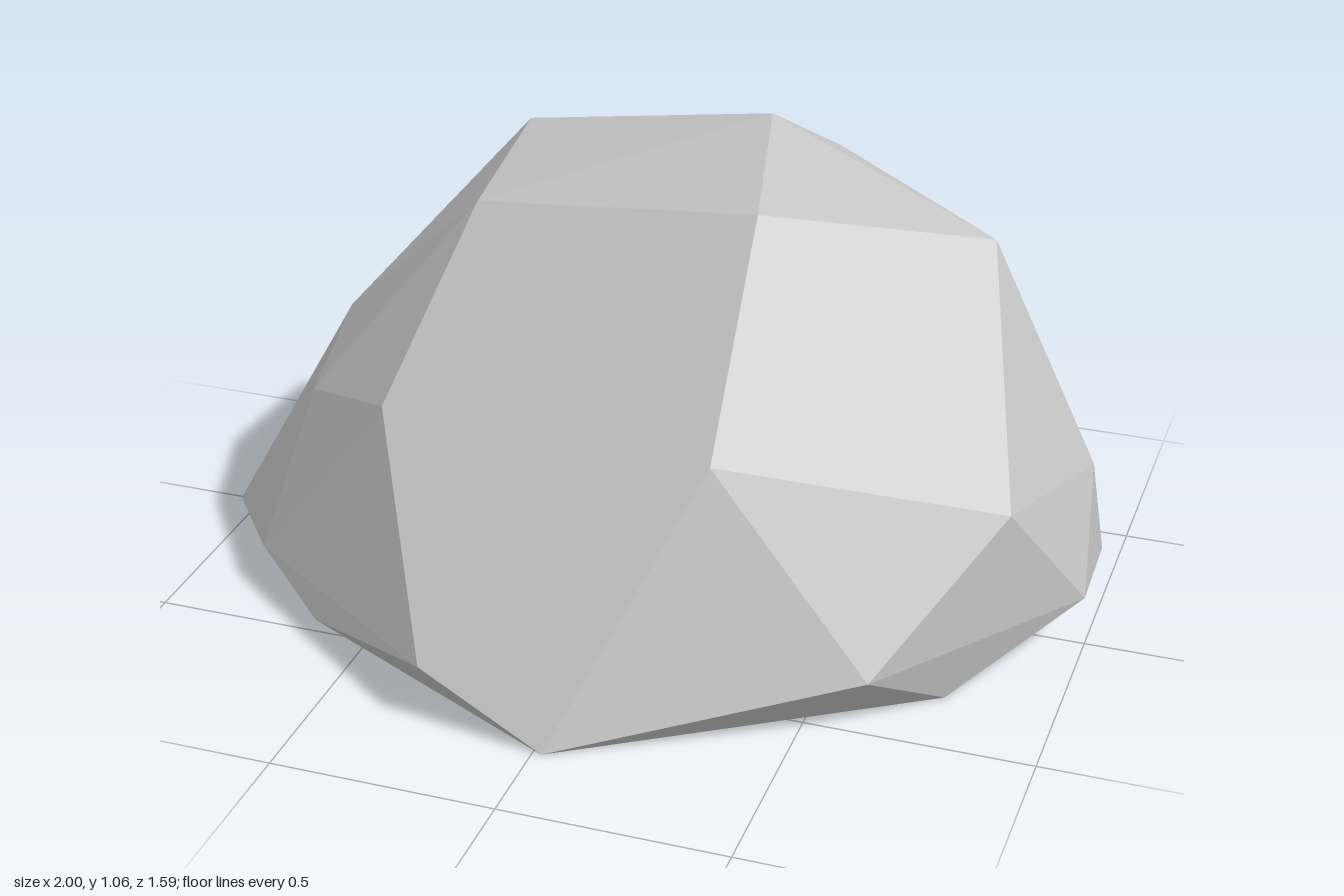
import * as THREE from 'three';
import { ConvexGeometry } from 'three/addons/geometries/ConvexGeometry.js';

// Back corners shared by the boulder and its toe
const backRim = [
  [-0.6, 0.01, -0.67], [-0.2, 0.13, -0.7], [0.6, 0.1, -0.6], [0.73, 0.02, -0.53],
];

// Corners of the boulder, ring by ring
const ground = [[0.02, 0, 0.79], [0.76, 0, 0.31], [0.91, 0, -0.21], [-0.89, 0, -0.4]];
const foot = [
  [0.97, 0.05, -0.34], [1, 0.14, 0.04], [0.64, 0.13, 0.51], [-0.27, 0.13, 0.75],
  [-0.61, 0.05, 0.53], [-0.82, 0.1, 0.35], [-1, 0.06, 0.1], [-0.99, 0.08, -0.2],
  [-0.73, 0.16, -0.56],
];
const flank = [
  [0.97, 0.38, -0.13], [0.86, 0.41, 0.21], [0.27, 0.54, 0.44], [-0.5, 0.52, 0.37],
  [-0.78, 0.4, 0.13], [-0.8, 0.49, -0.14], [-0.775, 0.4, -0.39],
  [-0.39, 0.63, -0.55], [0.3, 0.37, -0.66], [0.79, 0.42, -0.4],
];
const crown = [
  [0.73, 0.89, -0.11], [0.25, 0.95, 0.06], [-0.42, 0.86, -0.01],
  [-0.43, 0.92, -0.37], [0.19, 1.06, -0.24], [0.28, 0.9, -0.49],
];

// Low ledge jutting out behind, with one corner buried in the boulder
const ledge = [[0.03, 0, -0.8], [0.05, 0.08, -0.4]];

export function createModel() {
  const stone = new THREE.MeshStandardMaterial({ color: 0xc5c5c5 });
  stone.name = 'stone grey';

  const group = new THREE.Group();
  group.name = 'rock';

  // Each part is a faceted hull around its corners
  const addHull = (name, corners) => {
    const points = corners.map((p) => new THREE.Vector3(...p));
    const mesh = new THREE.Mesh(new ConvexGeometry(points), stone);
    mesh.name = name;
    group.add(mesh);
  };

  addHull('boulder', [...backRim, ...ground, ...foot, ...flank, ...crown]);
  addHull('backLedge', [...backRim, ...ledge]);
  return group;
}
